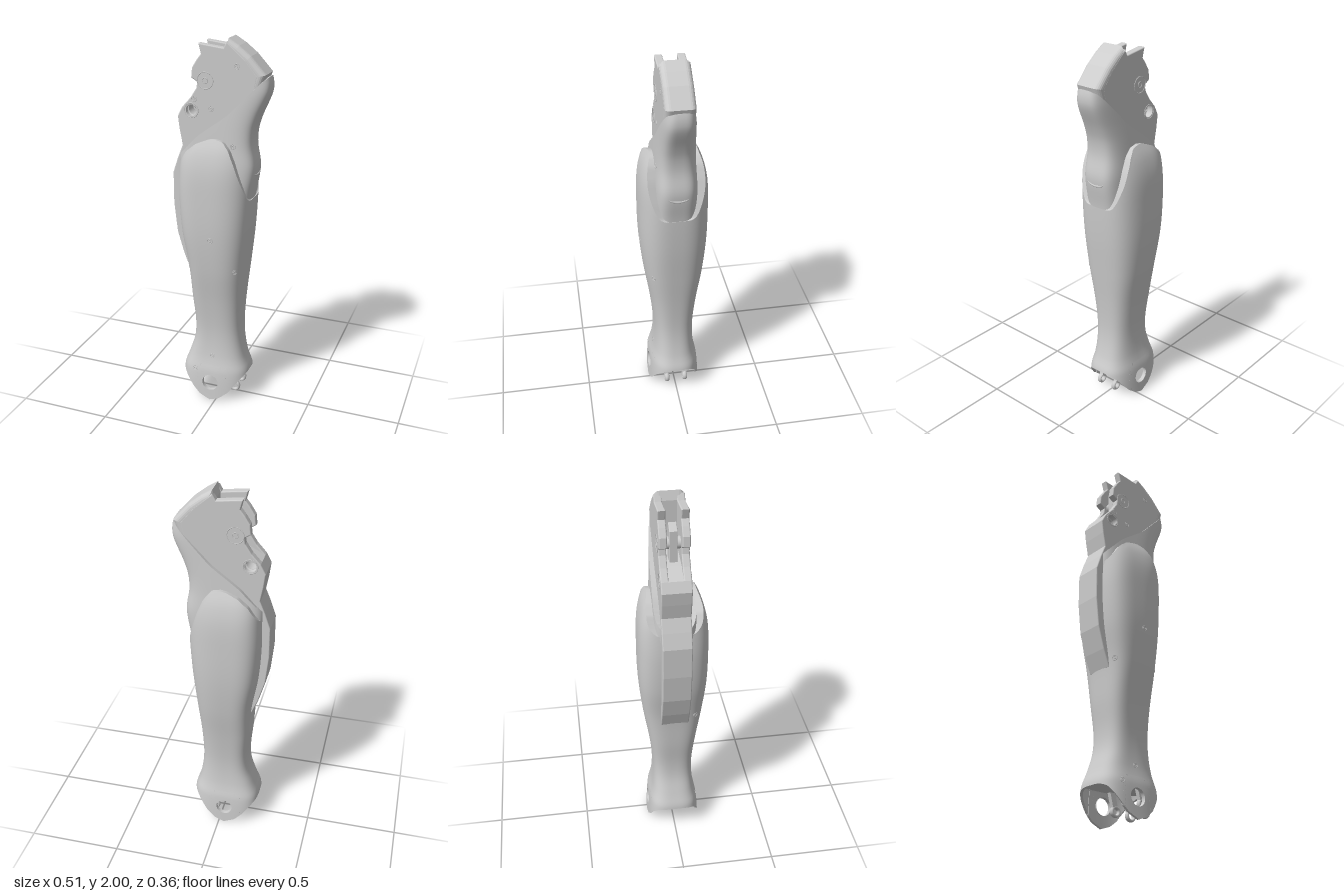
import * as THREE from 'three';

const grey = new THREE.MeshStandardMaterial({ color: 0xcccccc, side: THREE.DoubleSide });
grey.name = 'satin grey';

// smooth (or linear) lookup in rows [key, v1, v2, ...]
function lookup(rows, k, col, smooth = false) {
  const n = rows.length;
  if (k <= rows[0][0]) return rows[0][col];
  if (k >= rows[n - 1][0]) return rows[n - 1][col];
  let i = 0;
  while (rows[i + 1][0] < k) i++;
  const a = rows[i], b = rows[i + 1], h = b[0] - a[0], t = (k - a[0]) / h;
  if (!smooth) return a[col] + (b[col] - a[col]) * t;
  const slope = (p, q) => (q[col] - p[col]) / (q[0] - p[0]);
  const m0 = slope(rows[Math.max(i - 1, 0)], b) * h;
  const m1 = slope(a, rows[Math.min(i + 2, n - 1)]) * h;
  const t2 = t * t, t3 = t2 * t;
  return (2 * t3 - 3 * t2 + 1) * a[col] + (t3 - 2 * t2 + t) * m0 + (3 * t2 - 2 * t3) * b[col] + (t3 - t2) * m1;
}

// surface grid from a rule fn(i, j) -> [x, y, z]
function grid(cols, rows, fn) {
  const pos = [], idx = [];
  for (let j = 0; j <= rows; j++) for (let i = 0; i < cols; i++) pos.push(...fn(i, j));
  for (let j = 0; j < rows; j++) for (let i = 0; i < cols; i++) {
    const a = j * cols + i, b = j * cols + (i + 1) % cols;
    idx.push(a, a + cols, b, b, a + cols, b + cols);
  }
  const g = new THREE.BufferGeometry();
  g.setAttribute('position', new THREE.Float32BufferAttribute(pos, 3));
  g.setIndex(idx);
  g.computeVertexNormals();
  return g;
}

// cross-sections: y, xMin, xMax, half depth; left and right set how square each end is
const SHELL = { left: 3.2, right: 2.9, rows: [[0, -0.215, 0.168, 0.145], [0.17, -0.21, 0.16, 0.134], [0.25, -0.183, 0.135, 0.117],
  [0.35, -0.152, 0.117, 0.108], [0.45, -0.145, 0.112, 0.11], [0.6, -0.157, 0.12, 0.127], [0.8, -0.17, 0.14, 0.158],
  [1, -0.202, 0.16, 0.177], [1.2, -0.215, 0.172, 0.18], [1.35, -0.21, 0.174, 0.174], [1.45, -0.2, 0.172, 0.152], [1.52, -0.18, 0.17, 0.118]] };
const SLEEVE = { left: 4, right: 3.8, rows: [[1.1, -0.2, 0.155, 0.1], [1.2, -0.21, 0.166, 0.112], [1.35, -0.22, 0.188, 0.112],
  [1.47, -0.22, 0.172, 0.106], [1.55, -0.22, 0.178, 0.102], [1.62, -0.22, 0.2, 0.098], [1.74, -0.2, 0.25, 0.09],
  [1.8, -0.2, 0.252, 0.085], [1.84, -0.2, 0.24, 0.08]] };
// edge lines: x, y
const ARCH = [[-0.215, 1.25], [-0.205, 1.35], [-0.15, 1.44], [-0.1, 1.48], [-0.04, 1.505], [0, 1.51], [0.04, 1.5],
  [0.075, 1.46], [0.105, 1.39], [0.14, 1.28], [0.16, 1.205], [0.168, 1.19]];
const DIAGONAL = [[-0.25, 1.34], [-0.2, 1.41], [-0.1, 1.515], [0.05, 1.625], [0.22, 1.8], [0.26, 1.83]];
const HEM = [[-0.215, 0.165], [-0.19, 0.145], [-0.13, 0.07], [-0.09, 0.03], [-0.03, 0.003], [0.02, 0.02], [0.07, 0.06], [0.13, 0.14], [0.168, 0.18]];
const HOLE = { x: -0.03, y: 0.11, r: 0.045 };

function section(body, y, k) {
  const [x0, x1, z] = [1, 2, 3].map((c) => lookup(body.rows, y, c, true));
  const cx = x0 + (x1 - x0) * 0.42;
  return { cx, left: (cx - x0) * k, right: (x1 - cx) * k, z: z * k };
}
function ringPoint(body, a, y, k = 1) {
  const s = section(body, y, k), c = Math.cos(a), n = Math.sin(a), e = 2 / (c > 0 ? body.right : body.left);
  const p = (v) => Math.sign(v) * Math.pow(Math.abs(v), e);
  return [s.cx + p(c) * (c > 0 ? s.right : s.left), y, s.z * p(n)];
}
function depthAt(body, x, y, k = 1) {
  const s = section(body, y, k), d = x - s.cx, e = d > 0 ? body.right : body.left;
  const u = Math.min(1, Math.abs(d) / (d > 0 ? s.right : s.left));
  return s.z * Math.pow(1 - Math.pow(u, e), 1 / e);
}
// height where a column of the surface crosses an edge line
function crossing(body, a, from, to, line) {
  const step = (to - from) / 400;
  for (let i = 0; i <= 400; i++) {
    const y = from + step * i, d = line(ringPoint(body, a, y)[0]) - y;
    if (step > 0 ? d <= 0 : d >= 0) return y;
  }
  return to;
}

export function createModel() {
  const root = new THREE.Group();
  root.name = 'lowerLeg';
  const add = (name, geometry, parent = root) => {
    const m = new THREE.Mesh(geometry, grey);
    m.name = name;
    parent.add(m);
    return m;
  };
  const N = 112, ang = (i) => (i / N) * Math.PI * 2;

  // calf shell, open around the ankle holes
  const hemY = (x) => (Math.abs(x - HOLE.x) < 0.07 ? 0.2 : lookup(HEM, x, 1));
  const tops = [], hems = [], sleeveTops = [];
  for (let i = 0; i < N; i++) {
    tops.push(crossing(SHELL, ang(i), 0.9, 1.52, (x) => lookup(ARCH, x, 1)));
    hems.push(crossing(SHELL, ang(i), 0.3, 0, hemY));
    sleeveTops.push(crossing(SLEEVE, ang(i), 1.1, 1.84, (x) => lookup(DIAGONAL, x, 1)));
  }
  add('calfShell', grid(N, 56, (i, j) => ringPoint(SHELL, ang(i),
    j < 8 ? hems[i] + (0.215 - hems[i]) * j / 8 : 0.215 + (tops[i] - 0.215) * (j - 8) / 48)));
  const lip = (body, ys, depth) => grid(N, 1, (i, j) => {
    const p = ringPoint(body, ang(i), ys[i]);
    return j ? [p[0] * 0.95, p[1] - 0.004, p[2] * depth] : p;
  });
  add('calfShellLip', lip(SHELL, tops, 0.55));

  // inner ankle wall, hem edge and floor
  add('ankleInnerWall', grid(N, 4, (i, j) => ringPoint(SHELL, ang(i), hems[i] + (0.21 - hems[i]) * j / 4, 0.92)));
  add('ankleFloor', grid(N, 1, (i, j) => ringPoint(SHELL, ang(i), 0.18, j ? 0.96 : 0.001)));
  add('ankleHem', grid(N, 1, (i, j) => ringPoint(SHELL, ang(i), hems[i], j ? 1 : 0.92)));

  // ankle lugs: polar patches around the pivot holes, lying on the shell surface
  const reach = (a) => {
    let r = HOLE.r;
    for (; r < 0.2; r += 0.0005) {
      const x = HOLE.x + Math.cos(a) * r, y = HOLE.y + Math.sin(a) * r;
      if (Math.abs(x - HOLE.x) > 0.09 || y > 0.212 || y < lookup(HEM, x, 1)) break;
    }
    return r;
  };
  const reaches = Array.from({ length: 80 }, (_, i) => reach(i / 80 * Math.PI * 2));
  for (const side of [1, -1]) {
    const lug = new THREE.Group();
    lug.name = side > 0 ? 'frontAnkleLug' : 'backAnkleLug';
    root.add(lug);
    const at = (i, t, k) => {
      const a = -side * i / 80 * Math.PI * 2, id = (80 - side * i) % 80;
      const r = HOLE.r + (reaches[id] - HOLE.r) * t;
      const x = HOLE.x + Math.cos(a) * r, y = HOLE.y + Math.sin(a) * r;
      return [x, y, side * depthAt(SHELL, x, y, k)];
    };
    add('lugOuterFace', grid(80, 6, (i, j) => at(i, 1 - j / 6, 1)), lug);
    add('lugInnerFace', grid(80, 6, (i, j) => at(i, j / 6, 0.9)), lug);
    add('lugHole', grid(80, 1, (i, j) => at(i, 0, j ? 0.85 : 1)), lug);
    add('lugEdge', grid(80, 1, (i, j) => at(i, 1, j ? 1 : 0.9)), lug);
  }

  // sleeve wrapping the knee
  add('kneeSleeve', grid(N, 36, (i, j) => ringPoint(SLEEVE, ang(i), 1.1 + (sleeveTops[i] - 1.1) * j / 36)));
  add('kneeSleeveLip', lip(SLEEVE, sleeveTops, 0.6));
  const notch = new THREE.CatmullRomCurve3([[0.17, 1.345, 0.062], [0.18, 1.325, 0.045], [0.184, 1.315, 0], [0.18, 1.325, -0.045],
    [0.17, 1.345, -0.062]].map((p) => new THREE.Vector3(...p)));
  add('shinNotch', new THREE.TubeGeometry(notch, 24, 0.006, 8));

  // knee frame: rounded shin block, two cheeks and a slotted filler between
  const plate = (pts, z0, z1, bevel, holes = []) => {
    const s = new THREE.Shape(pts.map((p) => new THREE.Vector2(...p)));
    for (const [x, y, r] of holes) s.holes.push(new THREE.Path().absarc(x, y, r, 0, Math.PI * 2, true));
    return new THREE.ExtrudeGeometry(s, { depth: z1 - z0 - 2 * bevel, bevelEnabled: bevel > 0, bevelSize: bevel, bevelThickness: bevel,
      bevelOffset: -bevel, bevelSegments: 5, curveSegments: 24 }).translate(0, 0, z0 + bevel);
  };
  const spine = [[0.1, 1.5], [0, 1], [-0.13, 0.76], [-0.165, 0.76], [-0.2, 0.85], [-0.235, 0.97], [-0.252, 1.13], [-0.252, 1.3],
    [-0.225, 1.38], [-0.197, 1.45], [-0.212, 1.53], [-0.221, 1.6], [-0.195, 1.65]];
  const shin = [[0.042, 1.985], [0.085, 1.95], [0.14, 1.902], [0.2, 1.83], [0.18, 1.72]];
  const crown = [[-0.15, 1.7], [-0.118, 1.75], [-0.113, 1.78], [-0.145, 1.8], [-0.14, 1.85], [-0.115, 1.89], [-0.092, 1.92], [-0.105, 1.97], [0.025, 1.955]];
  const pivot = [[-0.145, 1.635, 0.036]];
  add('shinBlock', plate([[0.045, 2], [0.1, 1.967], [0.16, 1.92], [0.238, 1.835], [0.2, 1.72], [0.1, 1.5], [0.03, 1.6], [0.03, 1.955]],
    -0.0745, 0.0745, 0.028));
  for (const side of [1, -1]) {
    const g = plate([...shin, ...spine, ...crown], 0.036, 0.075, 0.006, pivot);
    add(side > 0 ? 'frontCheek' : 'backCheek', g).position.z = side > 0 ? 0 : -0.111;
  }
  add('kneeFiller', plate([...shin, ...spine, [-0.12, 1.69], [0.03, 1.72]], -0.045, 0.045, 0, pivot));
  add('kneeLatch', plate([[-0.1, 1.7], [-0.03, 1.7], [-0.03, 1.85], [-0.06, 1.89], [-0.1, 1.86]], -0.02, 0.02, 0.004));

  // knee bolt with raised rims, and pivot rims
  const bolt = add('kneeBolt', new THREE.CylinderGeometry(0.03, 0.03, 0.15, 32));
  bolt.rotation.x = Math.PI / 2;
  bolt.position.set(-0.07, 1.79, 0);
  for (const z of [0.075, -0.075]) {
    for (const [x, y, r] of [[-0.07, 1.79, 0.042], [-0.07, 1.79, 0.014], [-0.145, 1.635, 0.037]]) {
      add('boltRim', new THREE.TorusGeometry(r, 0.002, 6, 32)).position.set(x, y, z);
    }
  }

  // small screws on the front side
  const screws = [[0.095, 1.87], [-0.04, 1.65], [-0.13, 1.695], [0.085, 1.475, SLEEVE], [-0.01, 0.985, SHELL],
    [-0.155, 0.8, SHELL], [0.105, 0.8, SHELL], [-0.025, 0.27, SHELL], [-0.12, 0.18, SHELL]];
  for (const [x, y, body] of screws) {
    const z = (px, py) => (body ? depthAt(body, px, py) : 0.075), d = 0.004;
    const normal = new THREE.Vector3(z(x - d, y) - z(x + d, y), z(x, y - d) - z(x, y + d), 2 * d).normalize();
    const g = new THREE.Group();
    g.name = 'screw';
    g.position.set(x, y, z(x, y));
    g.quaternion.setFromUnitVectors(new THREE.Vector3(0, 0, 1), normal);
    root.add(g);
    add('screwRim', new THREE.TorusGeometry(0.013, 0.0015, 6, 20), g);
    add('screwHead', new THREE.TorusGeometry(0.006, 0.0015, 6, 16), g);
  }

  // cable eyelets inside the ankle
  for (const z of [0.1, 0.052, -0.052, -0.1]) {
    const tall = Math.abs(z) < 0.08, y = tall ? 0.068 : 0.09, x = tall ? 0.088 : 0.03;
    const eye = new THREE.Group();
    eye.name = 'ankleEyelet';
    root.add(eye);
    const ring = add('eyeletRing', new THREE.TorusGeometry(0.022, 0.008, 8, 28), eye);
    ring.position.set(x, y, z);
    ring.scale.z = 1.6;
    const arm = add('eyeletArm', new THREE.BoxGeometry(0.03, 0.1, 0.022), eye);
    arm.position.set(x - 0.02, y + 0.07, z);
    arm.rotation.z = 0.25;
  }
  return root;
}
